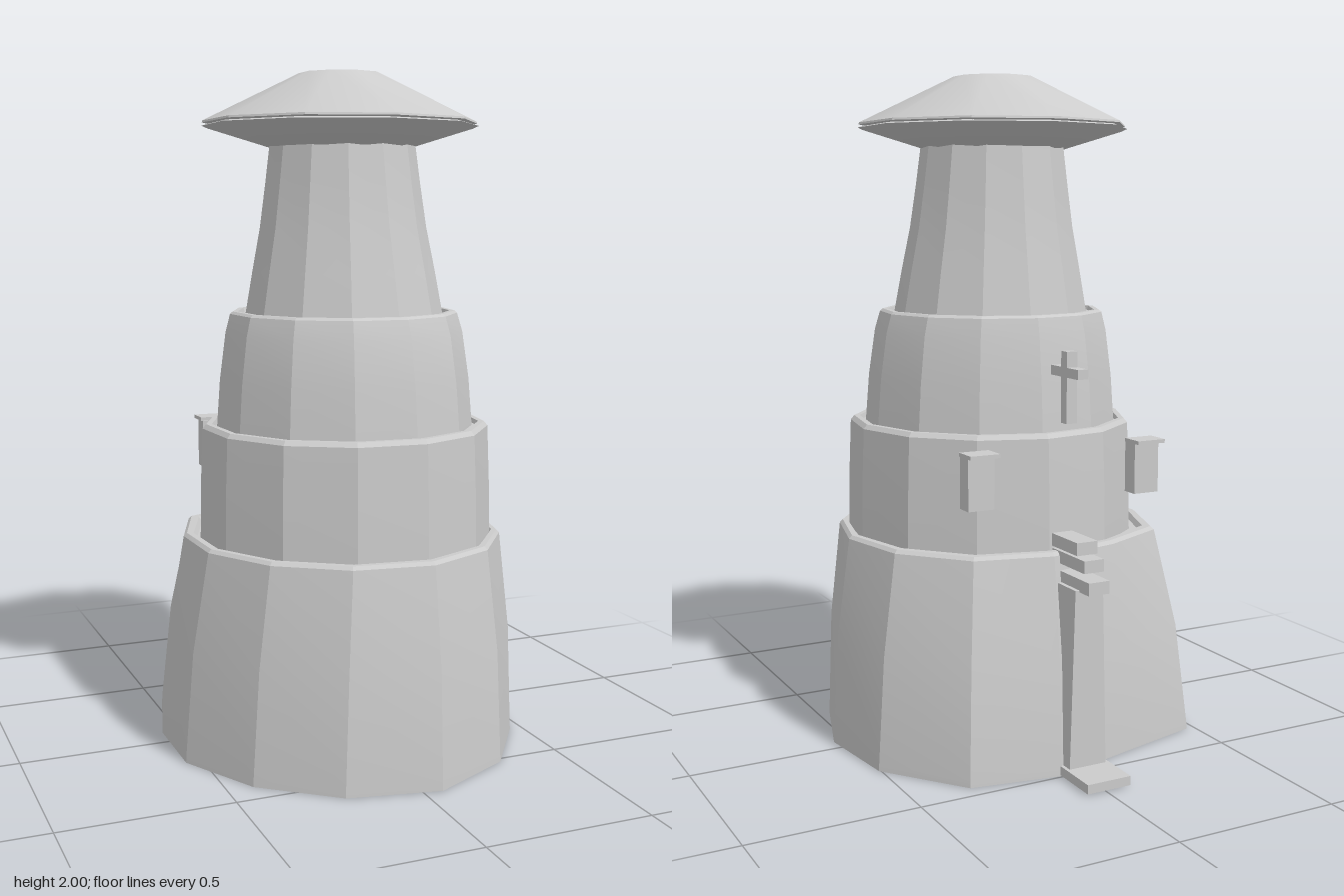
import * as THREE from 'three';
import { toCreasedNormals } from 'three/addons/utils/BufferGeometryUtils.js';

const material = new THREE.MeshStandardMaterial({ color: 0xcccccc });

// Uneven footprint of the tower base (x, z)
const footprint = [
  [0.545, 0.05], [0.465, 0.30], [0.31, 0.52], [0.06, 0.645], [-0.21, 0.59],
  [-0.42, 0.42], [-0.545, 0.18], [-0.545, -0.08], [-0.47, -0.355],
  [-0.2, -0.425], [0.06, -0.495], [0.33, -0.45], [0.51, -0.22],
];
const BASE_R = 0.57, BASE_Z = 0.08;

// A ring of the tower: even polygon mixed with the uneven footprint
function towerRing(y, r, cz, uneven = 0) {
  return footprint.map(([x, z], i) => {
    const a = (i / footprint.length) * Math.PI * 2 - 0.05;
    const s = r / BASE_R;
    return new THREE.Vector3(
      THREE.MathUtils.lerp(Math.cos(a) * r, x * s, uneven) - 0.004, y,
      cz + THREE.MathUtils.lerp(Math.sin(a) * r, (z - BASE_Z) * s, uneven));
  });
}

function evenRing(y, r, sides, turn) {
  return Array.from({ length: sides }, (_, i) => {
    const a = (i / sides) * Math.PI * 2 + Math.PI / 2 + turn;
    return new THREE.Vector3(Math.cos(a) * r - 0.01, y, Math.sin(a) * r + 0.055);
  });
}

// Skin stacked rings from bottom to top, closing both ends
function loft(rings) {
  const pos = [];
  const tri = (...pts) => pts.forEach((p) => pos.push(p.x, p.y, p.z));
  const n = rings[0].length;
  const middle = (ring) => ring.reduce((m, p) => m.add(p), new THREE.Vector3()).divideScalar(n);
  const first = rings[0], last = rings[rings.length - 1];
  const bottom = middle(first), top = middle(last);
  for (let i = 0; i < n; i++) {
    const j = (i + 1) % n;
    for (let k = 0; k < rings.length - 1; k++) {
      const lo = rings[k], hi = rings[k + 1];
      tri(lo[i], hi[i], hi[j]);
      tri(lo[i], hi[j], lo[j]);
    }
    tri(bottom, first[i], first[j]);
    tri(top, last[j], last[i]);
  }
  const geometry = new THREE.BufferGeometry();
  geometry.setAttribute('position', new THREE.Float32BufferAttribute(pos, 3));
  return toCreasedNormals(geometry, 0.3);
}

function add(parent, name, geometry, x = 0, y = 0, z = 0) {
  const mesh = new THREE.Mesh(geometry, material);
  mesh.name = name;
  mesh.position.set(x, y, z);
  parent.add(mesh);
  return mesh;
}

// Box given by its limits on each axis
function block(parent, name, [x0, x1], [y0, y1], [z0, z1]) {
  return add(parent, name, new THREE.BoxGeometry(x1 - x0, y1 - y0, z1 - z0),
    (x0 + x1) / 2, (y0 + y1) / 2, (z0 + z1) / 2);
}

export function createModel() {
  const model = new THREE.Group();
  model.name = 'steppedTower';

  // Tower tiers: rows of height, radius, centre z, unevenness
  const tiers = {
    baseTier: [[0, 0.57, 0.08, 1], [0.02, 0.569, 0.08, 1], [0.33, 0.545, 0.08, 0.8],
      [0.625, 0.495, 0.08, 0.5], [0.635, 0.485, 0.08, 0.5], [0.635, 0.465, 0.08, 0.4], [0.62, 0.455, 0.08, 0.4]],
    secondTier: [[0.6, 0.443, 0.075], [0.78, 0.44, 0.075], [0.955, 0.433, 0.075],
      [0.968, 0.422, 0.075], [0.968, 0.405, 0.075], [0.955, 0.4, 0.075]],
    thirdTier: [[0.94, 0.389, 0.07], [1.1, 0.377, 0.068], [1.24, 0.358, 0.065],
      [1.295, 0.343, 0.062], [1.302, 0.335, 0.062], [1.302, 0.32, 0.062], [1.29, 0.315, 0.062]],
    topTier: [[1.28, 0.3, 0.065], [1.42, 0.275, 0.062], [1.55, 0.25, 0.058],
      [1.68, 0.232, 0.055], [1.8, 0.217, 0.053]],
  };
  for (const [name, rows] of Object.entries(tiers)) {
    add(model, name, loft(rows.map((row) => towerRing(...row))));
  }

  // Roof: flared eaves under a flat-topped cap
  add(model, 'roofEaves', loft([[1.785, 0.215], [1.84, 0.395], [1.848, 0.412], [1.852, 0.4]]
    .map(([y, r]) => evenRing(y, r, 10, 0.06))));
  add(model, 'roofCap', loft([[1.85, 0.385], [1.856, 0.41], [1.862, 0.408], [2, 0.122]]
    .map(([y, r]) => evenRing(y, r, 10, 0))));

  // Rear entrance: pillar narrowing upwards, stacked slabs and a step
  const entrance = new THREE.Group();
  entrance.name = 'entrance';
  model.add(entrance);
  const pillar = block(entrance, 'pillar', [-0.07, 0.05], [0.01, 0.55], [-0.528, -0.38]);
  const p = pillar.geometry.attributes.position;
  for (let i = 0; i < p.count; i++) if (p.getY(i) > 0) p.setX(i, p.getX(i) * 0.75);
  pillar.geometry.computeVertexNormals();
  block(entrance, 'doorStep', [-0.08, 0.06], [0.003, 0.03], [-0.645, -0.43]);
  block(entrance, 'lowerSlab', [-0.045, 0.022], [0.545, 0.582], [-0.578, -0.4]);
  block(entrance, 'middleSlab', [-0.043, 0.02], [0.602, 0.638], [-0.55, -0.37]);
  block(entrance, 'upperSlab', [-0.045, 0.022], [0.645, 0.682], [-0.513, -0.37]);

  // Cross above the entrance
  const cross = new THREE.Group();
  cross.name = 'cross';
  model.add(cross);
  block(cross, 'crossUpright', [-0.028, 0.006], [1.005, 1.21], [-0.422, -0.39]);
  block(cross, 'crossArms', [-0.028, 0.006], [1.137, 1.165], [-0.482, -0.332]);

  // Lanterns on either side
  for (const [side, x] of [['left', 0.26], ['right', -0.285]]) {
    const lantern = new THREE.Group();
    lantern.name = side + 'Lantern';
    model.add(lantern);
    block(lantern, 'lanternBody', [x - 0.041, x + 0.041], [0.775, 0.925], [-0.392, -0.34]);
    block(lantern, 'lanternCap', [x - 0.046, x + 0.046], [0.925, 0.936], [-0.418, -0.345]);
  }
  return model;
}
